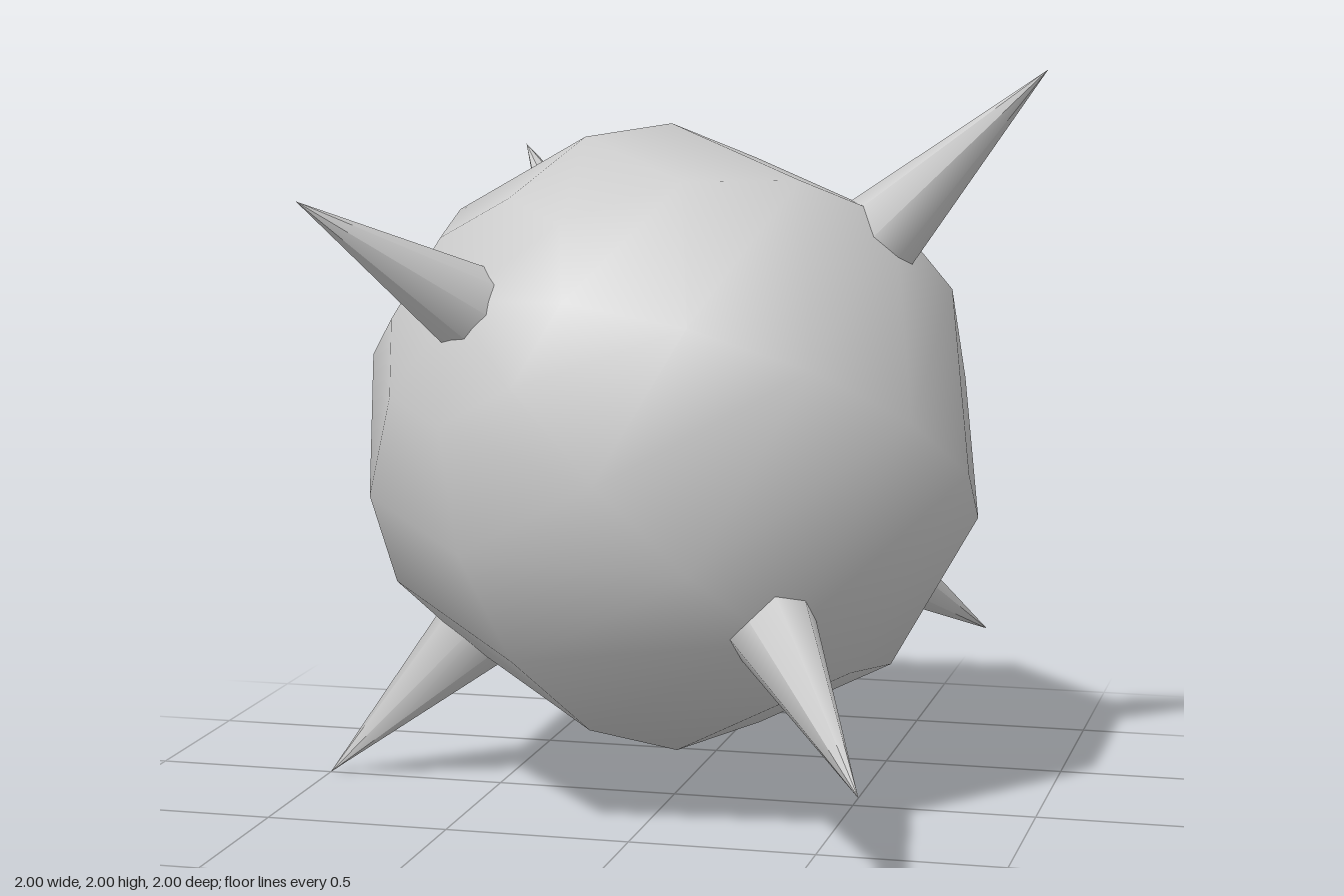
import * as THREE from 'three';

export function createModel() {
  const model = new THREE.Group();
  model.name = 'spikedBall';
  const material = new THREE.MeshStandardMaterial({ color: 0xcccccc });

  const bodyRadius = 0.85;
  const tipDistance = Math.SQRT2;
  const spikeBase = 0.707; // the spike starts inside the body

  // Three perpendicular spike axes, tilted so that six tips fill the bounds
  const h = Math.SQRT1_2;
  const axisA = new THREE.Vector3(h, h, 0);
  const axisB = new THREE.Vector3(0.5, -0.5, -h);
  const axisC = new THREE.Vector3().crossVectors(axisA, axisB);

  // Low-poly body with its poles along one spike axis
  const body = new THREE.Mesh(new THREE.SphereGeometry(bodyRadius, 8, 8), material);
  body.name = 'body';
  body.quaternion.setFromRotationMatrix(new THREE.Matrix4().makeBasis(axisA, axisB, axisC));
  body.position.y = 1;
  model.add(body);

  // A pair of opposite spikes on every axis
  const height = tipDistance - spikeBase;
  const spikeGeometry = new THREE.ConeGeometry(height * 0.19, height, 8);
  spikeGeometry.translate(0, spikeBase + height / 2, 0);
  const up = new THREE.Vector3(0, 1, 0);
  for (const axis of [axisA, axisB, axisC]) {
    for (const side of [1, -1]) {
      const spike = new THREE.Mesh(spikeGeometry, material);
      spike.name = 'spike';
      spike.quaternion.setFromUnitVectors(up, axis.clone().multiplyScalar(side));
      spike.position.y = 1;
      model.add(spike);
    }
  }
  return model;
}
